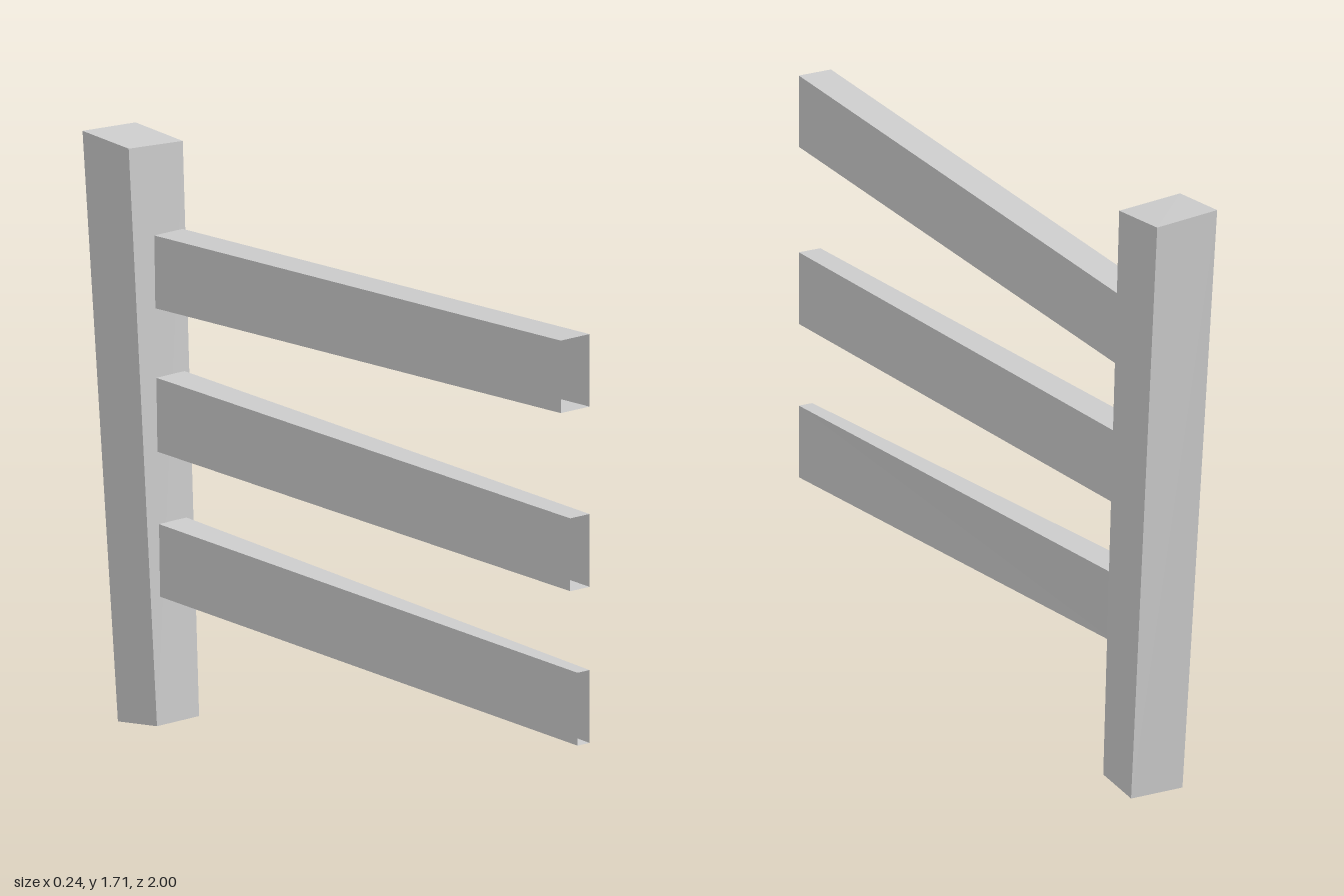
import * as THREE from 'three';

const material = new THREE.MeshStandardMaterial({
  color: 0xcccccc, flatShading: true, side: THREE.DoubleSide,
});

// Four-sided hollow beam between two rings of corners, with an optional cap on the end ring.
// Rings run counter-clockwise as seen from beyond the end ring.
function beam(name, start, end, capEnd = false) {
  const points = [];
  const quad = (a, b, c, d) => points.push(...a, ...b, ...c, ...a, ...c, ...d);
  for (let i = 0; i < 4; i++) {
    const j = (i + 1) % 4;
    quad(start[i], start[j], end[j], end[i]);
  }
  if (capEnd) quad(...end);
  const geometry = new THREE.BufferGeometry();
  geometry.setAttribute('position', new THREE.Float32BufferAttribute(points, 3));
  geometry.computeVertexNormals();
  const mesh = new THREE.Mesh(geometry, material);
  mesh.name = name;
  return mesh;
}

// Upright rectangle of corners facing +z; lowRight shifts the lower +x corner
const ring = (x0, x1, y0, y1, z, lowRight = x1) =>
  [[x0, y0, z], [lowRight, y0, z], [x1, y1, z], [x0, y1, z]];

export function createModel() {
  const group = new THREE.Group();
  group.name = 'brokenFence';

  // Leaning post, closed on top and open underneath
  group.add(beam('post',
    [[-0.042, 0.027, -0.76], [0.117, 0.025, -0.77], [0.115, 0, -0.922], [-0.048, 0.005, -0.925]],
    [[-0.115, 1.705, -0.795], [0.083, 1.69, -0.8], [0.076, 1.7, -1], [-0.122, 1.714, -0.99]],
    true));

  // Three rails, open at both ends, narrowing towards the front lower down
  group.add(beam('topRail',
    ring(-0.026, 0.077, 1.228, 1.438, -0.793), ring(-0.026, 0.077, 1.328, 1.538, 1)));
  group.add(beam('middleRail',
    ring(-0.026, 0.077, 0.815, 1.028, -0.785), ring(0.008, 0.077, 0.806, 1.017, 1)));
  group.add(beam('bottomRail',
    ring(-0.024, 0.077, 0.397, 0.606, -0.776, 0.066), ring(0.034, 0.077, 0.354, 0.565, 1)));

  return group;
}
